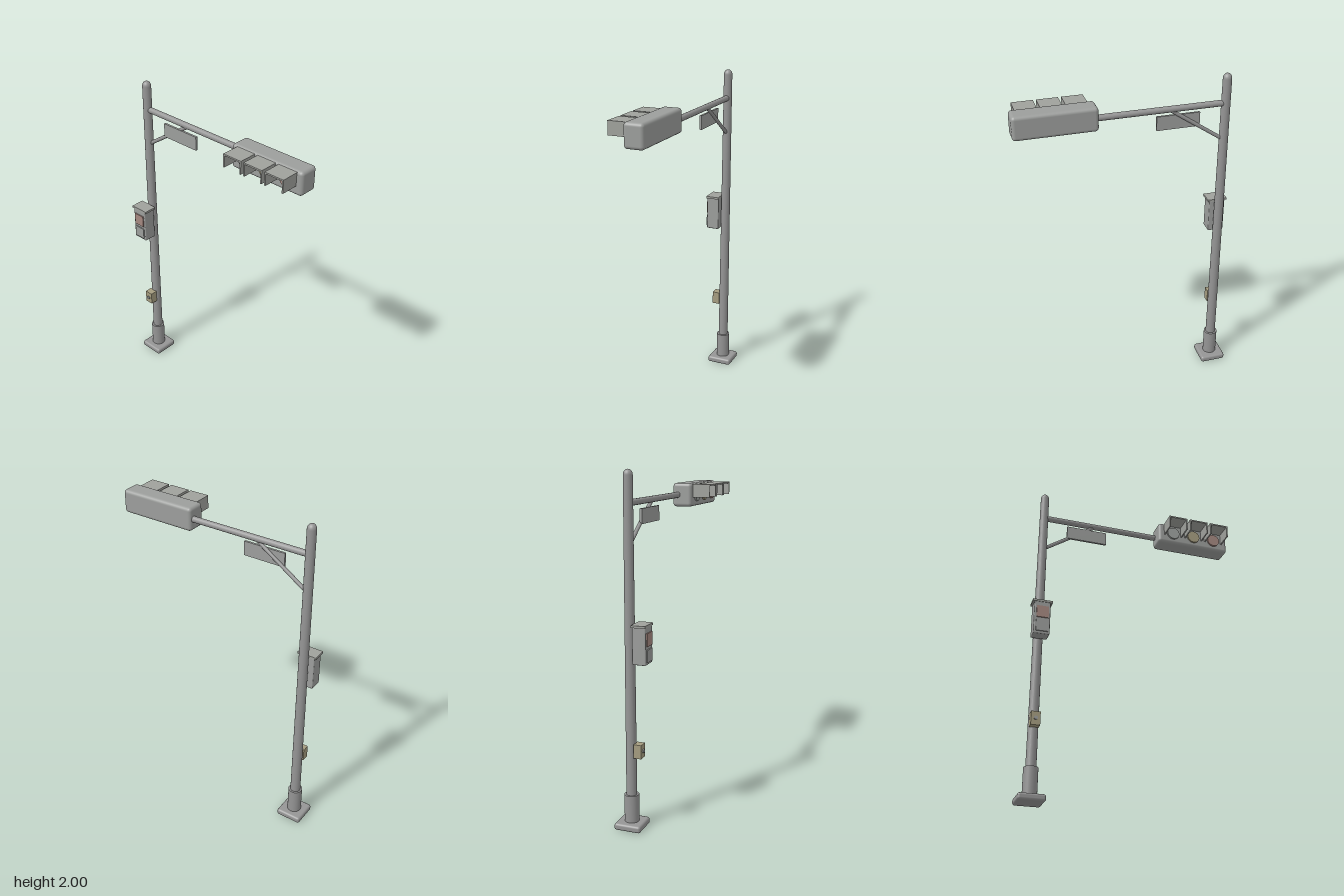
import * as THREE from 'three';
import { RoundedBoxGeometry } from 'three/addons/geometries/RoundedBoxGeometry.js';

const mat = (name, color) => {
  const m = new THREE.MeshStandardMaterial({ color });
  m.name = name;
  return m;
};

export function createModel() {
  const steel = mat('steel grey', 0x959595);
  const casing = mat('casing grey', 0x9c9e9c);
  const visorGrey = mat('visor grey', 0x9fa19c);
  const clear = mat('pale lens', 0x9ea39f);
  const amber = mat('dull amber', 0xa59d80);
  const red = mat('dull red', 0xa48880);

  const group = new THREE.Group();
  group.name = 'trafficLight';
  const PX = -0.57, PZ = -0.057;

  const add = (name, geo, m, x = 0, y = 0, z = 0, parent = group) => {
    const mesh = new THREE.Mesh(geo, m);
    mesh.name = name;
    mesh.position.set(x, y, z);
    parent.add(mesh);
    return mesh;
  };
  // box given by its limits on each axis
  const box = (name, m, [x0, x1], [y0, y1], [z0, z1], radius = 0, parent = group) => {
    const s = [x1 - x0, y1 - y0, z1 - z0];
    const geo = radius ? new RoundedBoxGeometry(...s, 4, radius) : new THREE.BoxGeometry(...s);
    return add(name, geo, m, (x0 + x1) / 2, (y0 + y1) / 2, (z0 + z1) / 2, parent);
  };
  // round bar between two points
  const bar = (name, a, b, r) => {
    const d = b.clone().sub(a);
    const mesh = add(name, new THREE.CylinderGeometry(r, r, d.length(), 16), steel);
    mesh.position.copy(a).add(b).multiplyScalar(0.5);
    mesh.quaternion.setFromUnitVectors(new THREE.Vector3(0, 1, 0), d.normalize());
  };

  // Pole, foot and domed cap
  box('basePlate', steel, [PX - 0.079, PX + 0.079], [0, 0.04], [PZ - 0.079, PZ + 0.079], 0.014);
  add('baseSleeve', new THREE.CylinderGeometry(0.042, 0.042, 0.165, 24), steel, PX, 0.1175, PZ);
  add('pole', new THREE.CylinderGeometry(0.026, 0.031, 1.94, 24), steel, PX, 1.0, PZ);
  const cap = add('poleCap', new THREE.SphereGeometry(0.026, 24, 8, 0, Math.PI * 2, 0, Math.PI / 2),
    steel, PX, 1.97, PZ);
  cap.scale.y = 0.03 / 0.026;

  // Arm, brace and hanging plate
  const v = (x, y) => new THREE.Vector3(x, y, PZ);
  bar('arm', v(PX, 1.825), v(0.19, 1.825), 0.018);
  bar('brace', v(PX + 0.01, 1.605), v(-0.235, 1.825), 0.011);
  box('hangingPlate', casing, [-0.42, -0.165], [1.702, 1.786], [-0.056, -0.043]);

  // Signal head with three hooded lenses
  const head = new THREE.Group();
  head.name = 'signalHead';
  group.add(head);
  box('housing', casing, [0.17, 0.645], [1.755, 1.895], [-0.088, 0.03], 0.02, head);
  [clear, amber, red].forEach((m, i) => {
    const x = 0.268 + i * 0.14;
    const lens = add('lens', new THREE.CylinderGeometry(0.04, 0.04, 0.014, 32), m, x, 1.825, 0.034, head);
    lens.rotation.x = Math.PI / 2;
    box('visorTop', visorGrey, [x - 0.061, x + 0.061], [1.879, 1.888], [0.022, 0.135], 0, head);
    for (const s of [-1, 1]) {
      const c = x + s * 0.057;
      box('visorSide', visorGrey, [c - 0.004, c + 0.004], [1.81, 1.88], [0.022, 0.135], 0, head);
    }
  });

  // Pedestrian control cabinet
  box('cabinet', casing, [-0.62, -0.523], [0.967, 1.175], [-0.025, 0.054], 0.006);
  box('cabinetRoof', visorGrey, [-0.63, -0.512], [1.173, 1.186], [-0.027, 0.056]);
  box('upperPanel', red, [-0.607, -0.535], [1.07, 1.143], [0.052, 0.061]);
  box('lowerPanel', casing, [-0.607, -0.535], [0.982, 1.052], [0.052, 0.061]);

  // Push-button box
  box('buttonBox', amber, [-0.598, -0.544], [0.425, 0.505], [-0.032, 0.014]);
  const button = add('pushButton', new THREE.CylinderGeometry(0.011, 0.011, 0.012, 16), casing, PX - 0.001, 0.465, 0.015);
  button.rotation.x = Math.PI / 2;

  return group;
}
